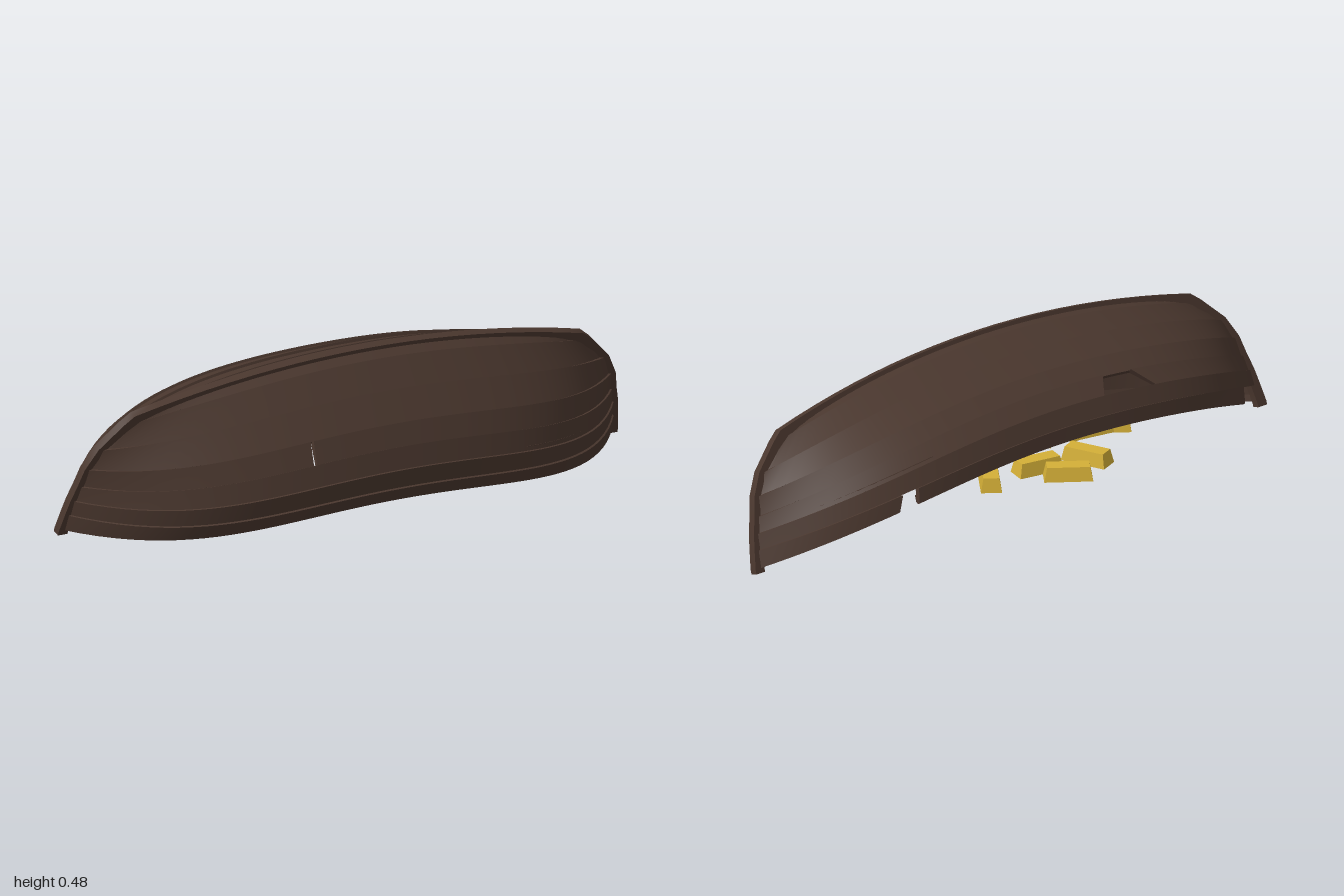
import * as THREE from 'three';
import { toCreasedNormals } from 'three/addons/utils/BufferGeometryUtils.js';

const wood = new THREE.MeshStandardMaterial({ color: 0x4a372e, side: THREE.DoubleSide });
const gold = new THREE.MeshStandardMaterial({ color: 0xd4af37, flatShading: true });

// Seam lines between planks, keel to gunwale:
// half-breadth and depth amidships, then length and depth where the seam meets the stem
const seams = [
  [0.00, 0.008, 0.80, 0.105],
  [0.045, 0.02, 0.83, 0.13],
  [0.133, 0.08, 0.905, 0.205],
  [0.222, 0.14, 0.94, 0.27],
  [0.275, 0.19, 0.955, 0.33],
  [0.317, 0.243, 0.97, 0.38],
  [0.331, 0.30, 0.98, 0.43],
  [0.331, 0.345, 0.99, 0.485],
];
const gunwale = seams.length - 1;

// Point on a seam at s = -1..1 along the boat: x, half-breadth u, depth v below the keel
function seamPoint(i, s) {
  const [u, v, xEnd, vEnd] = seams[i];
  return { x: s * xEnd, u: u * (1 - s ** 4), v: v + (vEnd - v) * s * s };
}

// Skin a list of equal-sized rings running along +x, with capped ends
function loft(rings) {
  const n = rings[0].length;
  const index = [];
  rings.slice(1).forEach((_, r) => {
    for (let j = 0; j < n; j++) {
      const a = r * n + j, b = r * n + (j + 1) % n;
      index.push(a, b, a + n, b, b + n, a + n);
    }
  });
  const last = (rings.length - 1) * n;
  for (let j = 1; j < n - 1; j++) index.push(0, j + 1, j, last, last + j, last + j + 1);
  const geo = new THREE.BufferGeometry();
  geo.setAttribute('position', new THREE.Float32BufferAttribute(rings.flat(2), 3));
  geo.setIndex(index);
  return toCreasedNormals(geo, 0.5);
}

function add(parent, geo, material, name) {
  const mesh = new THREE.Mesh(geo, material);
  mesh.name = name;
  parent.add(mesh);
  return mesh;
}

// One clinker plank from s0 to s1, stepped outside and flush inside; j0 and j1 slant its broken ends
function plank(i, side, [s0, s1, j0 = 0, j1 = 0]) {
  const steps = Math.max(2, Math.ceil((s1 - s0) * 26));
  const rings = [];
  for (let k = 0; k <= steps; k++) {
    const t = k / steps;
    const s = s0 + (s1 - s0) * t;
    const a = seamPoint(i, s);
    const b = seamPoint(i + 1, s + j0 * (1 - t) + j1 * t);
    const len = Math.hypot(b.u - a.u, b.v - a.v);
    const nu = (b.v - a.v) / len, nv = -(b.u - a.u) / len;
    const at = (p, off) => [p.x, -(p.v + nv * off), side * (p.u + nu * off)];
    const lap = i < 2 ? 0.003 : 0.008;
    const ring = [at(a, lap), at(b, 0), at(b, -0.011), at(a, -0.011)];
    rings.push(side > 0 ? ring : ring.reverse());
  }
  return loft(rings);
}

// Rail inside the gunwale
function rail(side, s0, s1) {
  const rings = [];
  for (let k = 0; k <= 40; k++) {
    const { x, u, v } = seamPoint(gunwale, s0 + (s1 - s0) * k / 40);
    const outer = side * Math.max(u - 0.008, 0.004), inner = side * Math.max(u - 0.03, 0);
    const ring = [[x, -v + 0.022, outer], [x, -v, outer], [x, -v, inner], [x, -v + 0.022, inner]];
    rings.push(side > 0 ? ring : ring.reverse());
  }
  return loft(rings);
}

// End deck spanning the hull along a seam
function deck(i, s0, s1) {
  const rings = [];
  for (let k = 0; k <= 10; k++) {
    const { x, u, v } = seamPoint(i, s0 + (s1 - s0) * k / 10);
    const w = Math.max(u - 0.006, 0.002);
    rings.push([[x, -v, -w], [x, -v + 0.012, -w], [x, -v + 0.012, w], [x, -v, w]]);
  }
  return loft(rings);
}

// Keel and both stems as one bar following the hull's centreline
function keelBar() {
  const half = [];
  for (let k = 0; k <= 10; k++) {
    const p = seamPoint(0, k / 10);
    half.push([p.x, p.v]);
  }
  for (let i = 1; i <= gunwale; i++) half.push([seams[i][2], seams[i][3]]);
  half.push([0.99, 0.497]);
  const path = [...half.slice(1).reverse().map(([x, v]) => [-x, v]), ...half];
  const w = 0.013;
  return loft(path.map(([x, v], k) => {
    const p = path[Math.max(k - 1, 0)], q = path[Math.min(k + 1, path.length - 1)];
    const len = Math.hypot(q[0] - p[0], q[1] - p[1]);
    const nx = (q[1] - p[1]) / len, ny = (q[0] - p[0]) / len;
    const at = (off, z) => [x + nx * off, -v + ny * off, z];
    return [at(-0.022, -w), at(0.012, -w), at(0.012, w), at(-0.022, w)];
  }));
}

// Ingot with sloping sides
function ingotGeometry() {
  const geo = new THREE.BoxGeometry(0.15, 0.045, 0.065);
  const p = geo.attributes.position;
  for (let i = 0; i < p.count; i++) {
    if (p.getY(i) > 0) p.setXYZ(i, p.getX(i) * 0.88, p.getY(i), p.getZ(i) * 0.75);
  }
  geo.computeVertexNormals();
  return geo;
}

export function createModel() {
  const model = new THREE.Group();
  model.name = 'overturnedBoat';

  // Boat is built keel up, then leaned over on one gunwale
  const boat = new THREE.Group();
  boat.name = 'boat';
  boat.rotation.x = 0.322;
  boat.position.set(0, 0.477, 0.1);
  model.add(boat);

  // Planks with breaks: a slit on the front side, a hole and broken gunwale on the back
  const breaks = {
    '1,3': [[-1, -0.307], [-0.296, 1]],
    '-1,4': [[-1, -0.355, 0, -0.055], [-0.24, 1, 0.04, 0]],
    '-1,6': [[-0.82, 0.56, 0.02, 0], [0.615, 1, 0.01, 0]],
  };
  for (const side of [1, -1]) {
    for (let i = 0; i < gunwale; i++) {
      for (const piece of breaks[`${side},${i}`] ?? [[-1, 1]]) {
        add(boat, plank(i, side, piece), wood, side > 0 ? 'leftPlank' : 'rightPlank');
      }
    }
  }
  add(boat, keelBar(), wood, 'keelAndStems');
  add(boat, rail(1, -0.97, 0.97), wood, 'frontRail');
  add(boat, rail(-1, -0.78, 0.55), wood, 'backRail');

  // Decks closing both ends, and a bench
  add(boat, deck(5, 0.48, 0.99), wood, 'foreDeck');
  add(boat, deck(6, -0.99, -0.84), wood, 'sternDeck');
  add(boat, new THREE.BoxGeometry(0.06, 0.018, 0.37), wood, 'bench').position.set(-0.65, -0.26, 0);

  // Ingots spilled underneath: x, y, z, turn
  const ingot = ingotGeometry();
  const spill = [
    [0.03, 0.038, 0.0, 0.96], [-0.14, 0.038, -0.02, -0.18], [-0.18, 0.038, -0.12, -0.61],
    [-0.28, 0.055, -0.09, -1.17], [-0.25, 0.038, 0.16, -0.84], [-0.38, 0.038, 0.15, -1.5],
    [-0.41, 0.055, 0.07, -0.18], [-0.5, 0.038, 0.09, -0.61],
  ];
  for (const [x, y, z, turn] of spill) {
    const bar = add(model, ingot, gold, 'ingot');
    bar.position.set(x, y, z);
    bar.rotation.y = turn;
  }
  return model;
}
